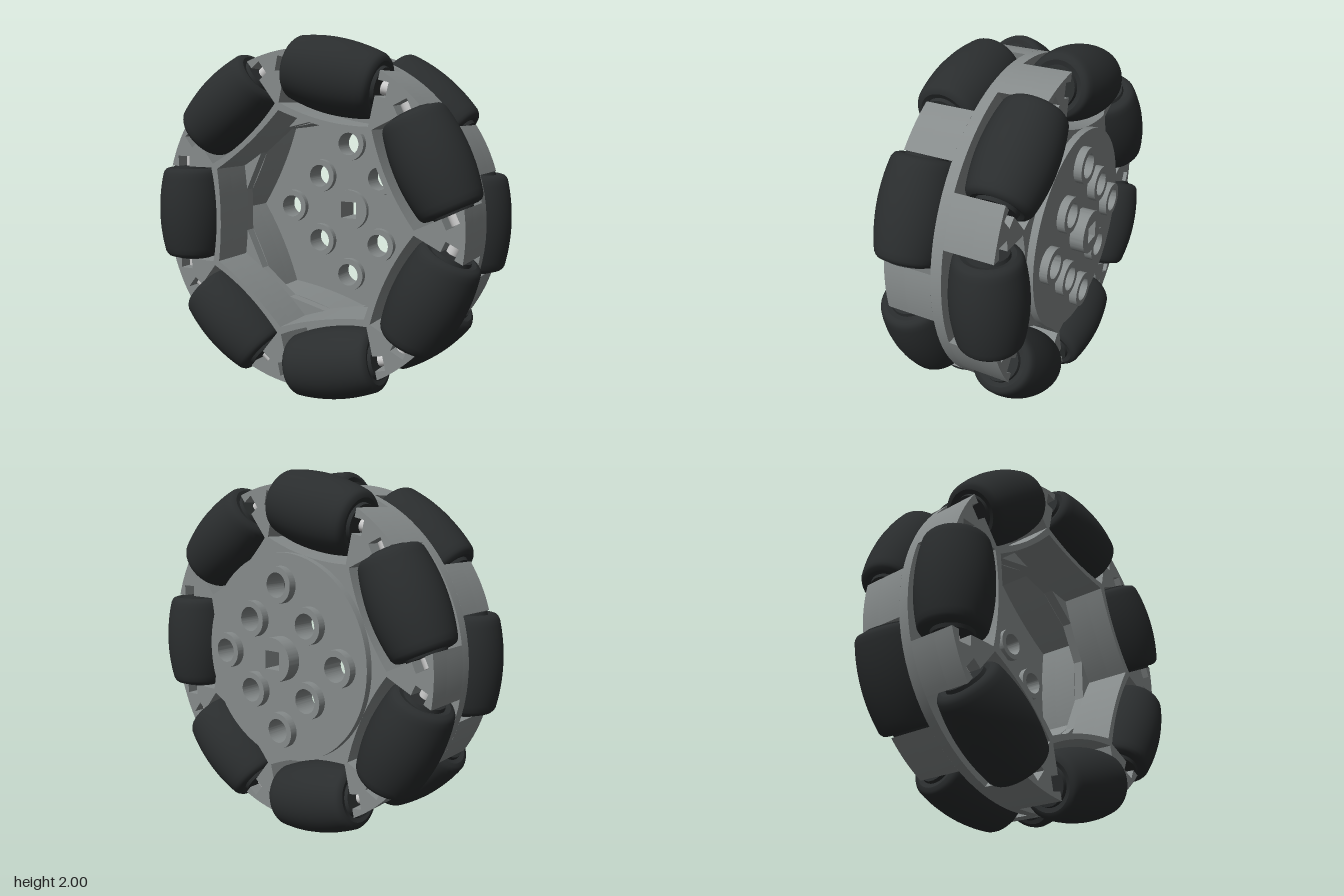
import * as THREE from 'three';
import { toCreasedNormals } from 'three/addons/utils/BufferGeometryUtils.js';

const COUNT = 7, STEP = (Math.PI * 2) / COUNT;
const RIM = 0.93;        // frame radius
const AXLE = 0.8;        // distance of the roller axles from the centre
const ROW_Z = 0.22;      // distance of each roller row from the middle plane
const POCKET = 0.275;    // half width of a roller pocket

const grey = new THREE.MeshStandardMaterial({ color: 0x868b8b });
const steel = new THREE.MeshStandardMaterial({ color: 0xcccccc });
const rubber = new THREE.MeshStandardMaterial({ color: 0x2a2d2e });

function addMesh(parent, name, geometry, material) {
  const mesh = new THREE.Mesh(geometry, material);
  mesh.name = name;
  parent.add(mesh);
  return mesh;
}

// Extrudes a shape between two z values
function slab(shape, z0, z1) {
  const geo = new THREE.ExtrudeGeometry(shape, { depth: z1 - z0, bevelEnabled: false, curveSegments: 48 });
  geo.translate(0, 0, z0);
  return toCreasedNormals(geo, 0.4);
}

const circle = (r, x = 0, y = 0) => new THREE.Shape().absarc(x, y, r, 0, Math.PI * 2, false);

// Point at radial distance u and tangential offset t for a roller at angle a
const polar = (a, u, t) => new THREE.Vector2(
  u * Math.cos(a) - t * Math.sin(a), u * Math.sin(a) + t * Math.cos(a));

// Frame outline: teeth between roller pockets, optionally with slots for the pins
function frameOutline(base, slotted) {
  const pts = [];
  const outer = Math.sqrt(RIM * RIM - POCKET * POCKET);
  const half = Math.asin(POCKET / RIM);
  const slot = [[AXLE - 0.04, POCKET], [AXLE - 0.04, 0.335], [AXLE + 0.04, 0.335], [AXLE + 0.04, POCKET]];
  for (let k = 0; k < COUNT; k++) {
    const a = base + k * STEP;
    pts.push(polar(a, outer, -POCKET));
    if (slotted) [...slot].reverse().forEach(([u, t]) => pts.push(polar(a, u, -t)));
    for (let i = -5; i <= 5; i++) pts.push(polar(a, 0.57 + 0.03 * (i / 5) ** 2, (POCKET * i) / 5));
    if (slotted) slot.forEach(([u, t]) => pts.push(polar(a, u, t)));
    pts.push(polar(a, outer, POCKET));
    for (let i = 1; i < 8; i++) pts.push(polar(a + half + ((STEP - 2 * half) * i) / 8, RIM, 0));
  }
  return new THREE.Shape(pts);
}

// Seven-sided hollow inside a row
function cavity(base) {
  const pts = [];
  for (let k = 0; k < COUNT; k++)
    for (let i = -5; i < 5; i++)
      pts.push(polar(base + k * STEP, 0.54 + 0.019 * (i / 5) ** 2, (0.269 * i) / 5));
  return new THREE.Shape(pts);
}

// Barrel roller whose profile follows the wheel's outer circle
function rollerGeometry() {
  const side = [[0, 0.275], [0.105, 0.275], [0.11, 0.256], [0.135, 0.264], [0.155, 0.258], [0.165, 0.247]];
  const pts = side.map(([r, y]) => new THREE.Vector2(r, -y));
  for (let i = -8; i <= 8; i++) {
    const t = (0.235 * i) / 8;
    pts.push(new THREE.Vector2(Math.sqrt(1 - t * t) - AXLE, t));
  }
  side.reverse().forEach(([r, y]) => pts.push(new THREE.Vector2(r, y)));
  return toCreasedNormals(new THREE.LatheGeometry(pts, 40), 0.6);
}

export function createModel() {
  const wheel = new THREE.Group();
  wheel.name = 'omniWheel';
  wheel.position.y = 1;
  const roller = rollerGeometry();
  const pin = new THREE.CylinderGeometry(0.035, 0.035, 0.66, 20);

  // Two rows, the back one turned by half a step
  for (const [label, sign, base] of [['front', 1, Math.PI], ['back', -1, 0]]) {
    const row = new THREE.Group();
    row.name = label + 'Row';
    wheel.add(row);
    for (const [name, slotted, z0, z1] of [['FrameBase', false, 0.03, 0.18], ['FrameSlotted', true, 0.18, 0.3]]) {
      const shape = frameOutline(base, slotted);
      shape.holes.push(cavity(base));
      addMesh(row, label + name, slab(shape, Math.min(sign * z0, sign * z1), Math.max(sign * z0, sign * z1)), grey);
    }
    for (let k = 0; k < COUNT; k++) {
      const unit = new THREE.Group();
      unit.name = label + 'RollerUnit';
      unit.rotation.z = base + k * STEP;
      addMesh(unit, 'roller', roller, rubber).position.set(AXLE, 0, sign * ROW_Z);
      addMesh(unit, 'axlePin', pin, steel).position.set(AXLE, 0, sign * ROW_Z);
      row.add(unit);
    }
  }

  // Middle ring with a fourteen-sided opening
  const ring = circle(RIM);
  const opening = [];
  for (let i = 0; i < 2 * COUNT; i++)
    opening.push(polar(((i + 0.5) * STEP) / 2, 0.545 / Math.cos(STEP / 4), 0));
  ring.holes.push(new THREE.Path(opening));
  addMesh(wheel, 'middleRing', slab(ring, -0.03, 0.03), grey);

  // Hub floor and the raised disc behind it, pierced where the bosses sit
  const spots = [[0.4, 0], [0.2, 0.2], [0, 0.4], [-0.2, 0.2], [-0.4, 0], [-0.2, -0.2], [0, -0.4], [0.2, -0.2]];
  const pierce = (shape) => {
    shape.holes.push(circle(0.085), ...spots.map(([x, y]) => circle(0.085, x, y)));
    return shape;
  };
  addMesh(wheel, 'hubFloor', slab(pierce(cavity(0)), -0.3, -0.285), grey);
  addMesh(wheel, 'hubDisc', slab(pierce(circle(0.57)), -0.34, -0.29), grey);

  // Ring bosses around a centre boss with a square bore
  for (const [x, y] of spots) {
    const boss = circle(0.1, x, y);
    boss.holes.push(circle(0.067, x, y));
    addMesh(wheel, 'boltBoss', slab(boss, -0.385, -0.25), grey);
  }
  const centre = circle(0.122);
  centre.holes.push(new THREE.Path([[-1, -1], [1, -1], [1, 1], [-1, 1]].map(([x, y]) => new THREE.Vector2(x * 0.05, y * 0.05))));
  addMesh(wheel, 'centreBoss', slab(centre, -0.42, -0.255), grey);

  const model = new THREE.Group();
  model.name = 'model';
  model.add(wheel);
  return model;
}
